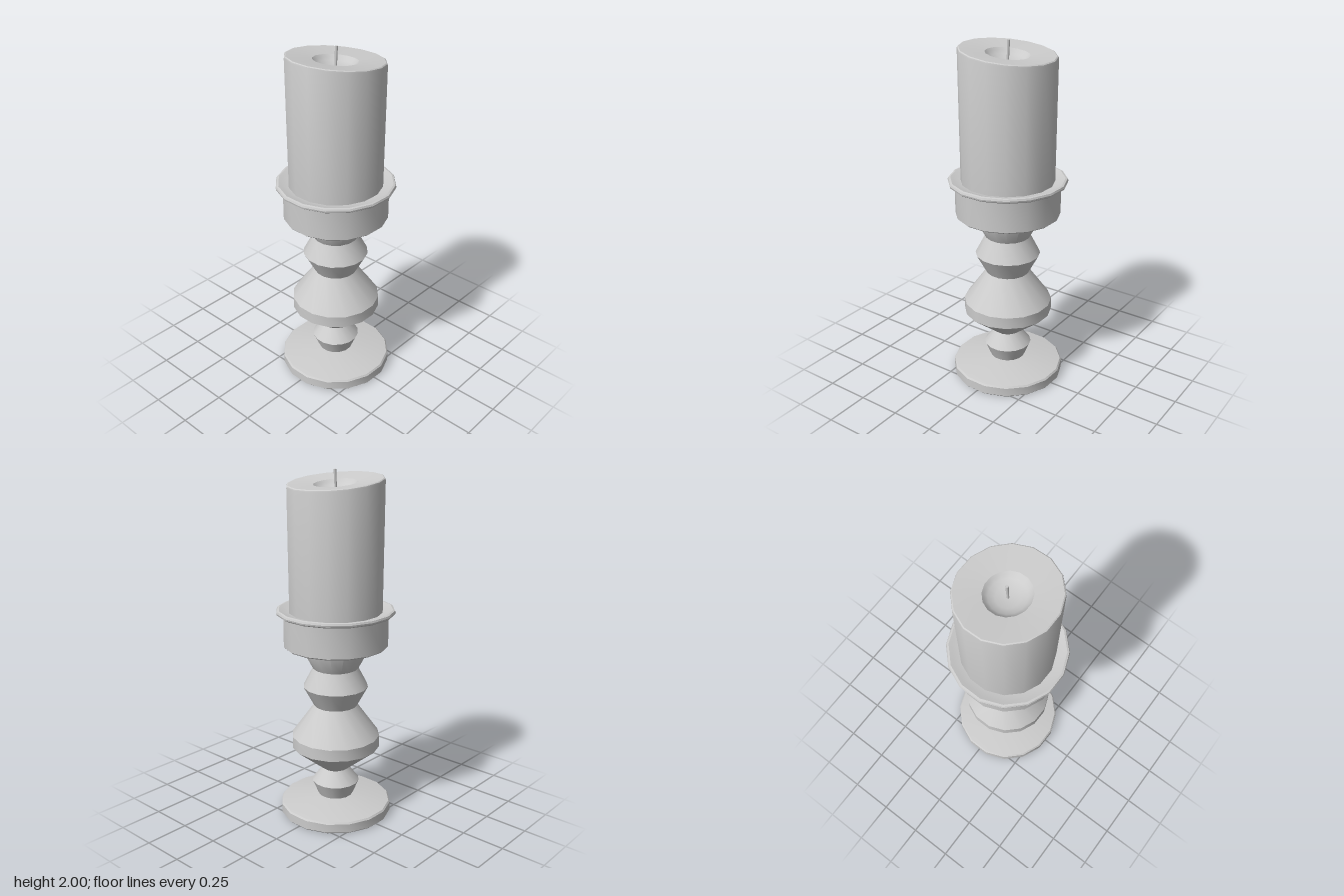
import * as THREE from 'three';
import { toCreasedNormals } from 'three/addons/utils/BufferGeometryUtils.js';

const SIDES = 16;
const START = Math.PI / SIDES - 0.018; // a flat side faces almost straight forward
const TILT = 0.115; // slope of the candle top, higher at the front

const material = new THREE.MeshStandardMaterial({ color: 0xcccccc });

// Turned part from [radius, height] pairs, listed from bottom to top
function turned(name, profile, reshape) {
  const points = profile.map(([r, y]) => new THREE.Vector2(r, y));
  const geometry = new THREE.LatheGeometry(points, SIDES, START);
  if (reshape) reshape(geometry.attributes.position);
  const mesh = new THREE.Mesh(toCreasedNormals(geometry, 0.55), material);
  mesh.name = name;
  return mesh;
}

// Slants the upper end of the candle
function slantTop(position) {
  for (let i = 0; i < position.count; i++) {
    const y = position.getY(i);
    if (y > 1.5) position.setY(i, y + TILT * position.getZ(i));
  }
}

export function createModel() {
  const model = new THREE.Group();
  model.name = 'candleOnHolder';

  // Foot disc with a gently sloping top
  model.add(turned('foot', [
    [0, 0], [0.318, 0], [0.326, 0.008], [0.326, 0.058], [0.318, 0.067], [0.1, 0.105], [0, 0.105],
  ]));

  // Stem of stacked double cones
  model.add(turned('stem', [
    [0.1, 0.1], [0.138, 0.19], [0.076, 0.27], [0.256, 0.415], [0.256, 0.483],
    [0.125, 0.665], [0.187, 0.78], [0.13, 0.89], [0.19, 1.0], [0.19, 1.01],
  ]));

  // Cup with a rounded, projecting rim
  model.add(turned('cup', [
    [0.13, 0.89], [0.19, 1.0], [0.29, 1.023], [0.298, 1.03], [0.298, 1.21],
    [0.325, 1.21], [0.335, 1.217], [0.337, 1.226], [0.333, 1.236], [0.322, 1.239],
    [0.305, 1.234], [0.26, 1.222], [0, 1.222],
  ]));

  // Candle with a softened edge and a melted hollow
  model.add(turned('candle', [
    [0.264, 1.2], [0.268, 1.93], [0.266, 1.937], [0.26, 1.941], [0.19, 1.935],
    [0.122, 1.928], [0.112, 1.917], [0.095, 1.902], [0.06, 1.89], [0, 1.885],
  ], slantTop));

  // Wick, leaning slightly back
  const wick = new THREE.Mesh(new THREE.CylinderGeometry(0.008, 0.006, 0.125, 8), material);
  wick.name = 'wick';
  wick.position.set(0, 1.9375, -0.002);
  wick.rotation.x = -0.05;
  model.add(wick);

  return model;
}
